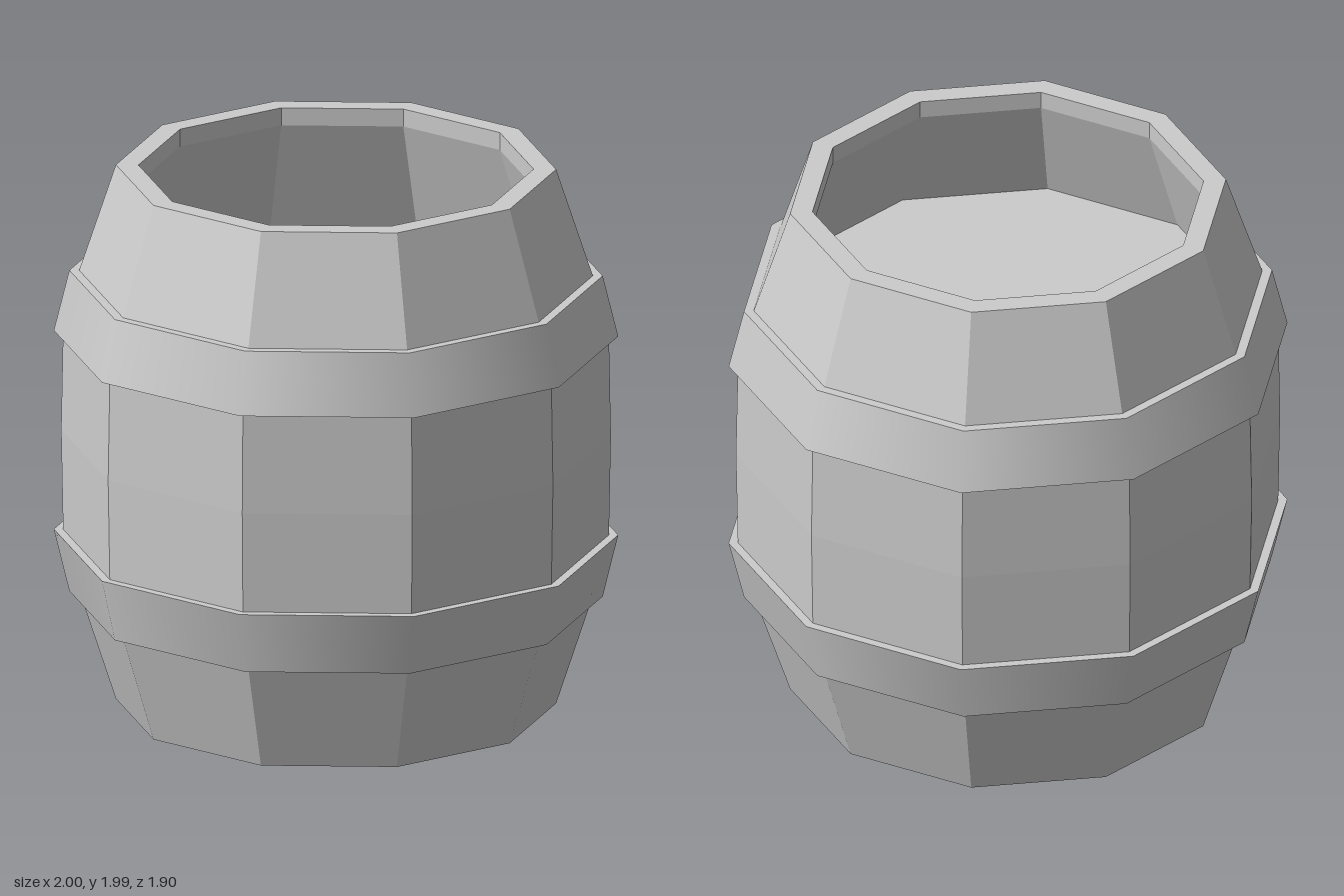
import * as THREE from 'three';

const SIDES = 10;
const flat = new THREE.MeshStandardMaterial({ color: 0xcccccc, flatShading: true, side: THREE.DoubleSide });
const smooth = new THREE.MeshStandardMaterial({ color: 0xcccccc, side: THREE.DoubleSide });

// Ten-sided ring swept from a [radius, height] profile, with corners on the x axis
function ring(name, profile, material = flat) {
  const points = profile.map(([r, y]) => new THREE.Vector2(r, y));
  const mesh = new THREE.Mesh(new THREE.LatheGeometry(points, SIDES, Math.PI / 2), material);
  mesh.name = name;
  return mesh;
}

// Raised hoop: smooth sloping face with flat ledges joining it to the staves
function hoop(name, [rBottom, yBottom], [rTop, yTop], staveBottom, staveTop) {
  const group = new THREE.Group();
  group.name = name;
  group.add(
    ring(name + 'Face', [[rBottom, yBottom], [rTop, yTop]], smooth),
    ring(name + 'LowerLedge', [[staveBottom, yBottom], [rBottom, yBottom]]),
    ring(name + 'UpperLedge', [[rTop, yTop], [staveTop, yTop]])
  );
  return group;
}

export function createModel() {
  const barrel = new THREE.Group();
  barrel.name = 'barrel';

  // Staves, open at the bottom and behind the hoops
  barrel.add(ring('lowerStaves', [[0.78, 0], [0.91, 0.4]]));
  barrel.add(ring('middleStaves', [[0.967, 0.63], [0.974, 1], [0.967, 1.37]]));
  barrel.add(ring('upperStaves', [[0.91, 1.595], [0.78, 1.99]]));

  // Hoops
  barrel.add(hoop('lowerHoop', [0.945, 0.4], [1, 0.63], 0.91, 0.967));
  barrel.add(hoop('upperHoop', [1, 1.37], [0.945, 1.595], 0.967, 0.91));

  // Rim, flared inner wall and recessed floor
  barrel.add(ring('rim', [[0.78, 1.99], [0.7, 1.99], [0.7, 1.925]]));
  barrel.add(ring('innerWall', [[0.7, 1.925], [0.84, 1.5]]));
  barrel.add(ring('innerFloor', [[0.84, 1.5], [0, 1.5]]));

  return barrel;
}
